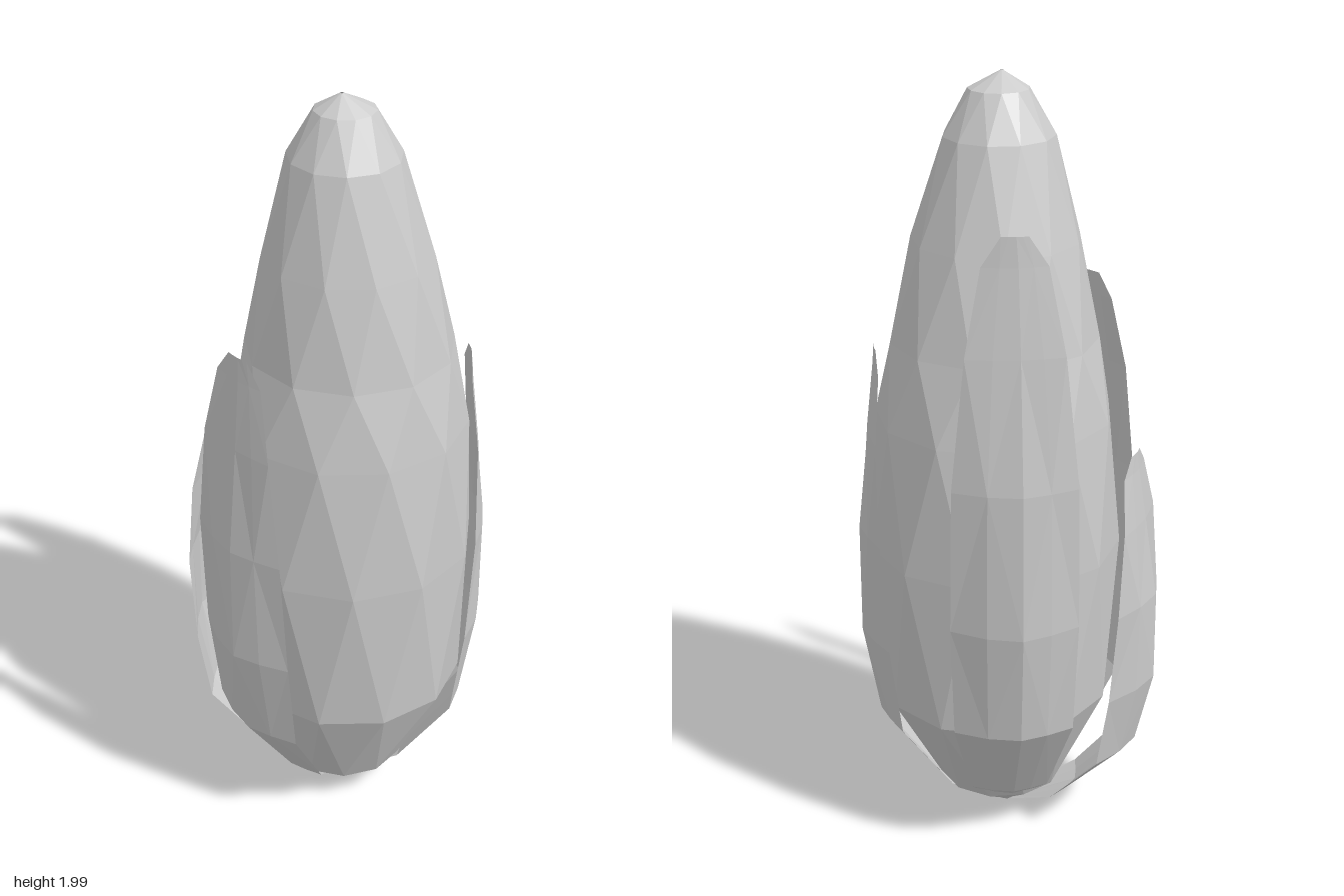
import * as THREE from 'three';

const material = new THREE.MeshStandardMaterial({ color: 0xcccccc, flatShading: true, side: THREE.DoubleSide });

function meshFrom(name, positions, indices) {
  const geometry = new THREE.BufferGeometry();
  geometry.setAttribute('position', new THREE.Float32BufferAttribute(positions, 3));
  geometry.setIndex(indices);
  geometry.computeVertexNormals();
  const mesh = new THREE.Mesh(geometry, material);
  mesh.name = name;
  return mesh;
}

// Faceted cob: rings with every other one turned by half a step
function makeCob() {
  const sides = 11;
  // height, radius, centre z
  const rings = [
    [0.01, 0.04, 0], [0.1, 0.165, -0.01], [0.38, 0.3, -0.03], [0.8, 0.322, -0.03],
    [1.15, 0.3, -0.03], [1.35, 0.262, -0.03], [1.6, 0.21, -0.02], [1.85, 0.138, -0.01],
    [1.96, 0.075, -0.01], [2, 0.004, 0],
  ];
  const positions = [], indices = [];
  rings.forEach(([y, radius, cz], r) => {
    for (let i = 0; i < sides; i++) {
      const a = ((i + (r % 2) / 2) / sides) * Math.PI * 2;
      positions.push(0.045 + radius * Math.sin(a), y, cz + radius * Math.cos(a));
    }
  });
  const at = (r, i) => r * sides + (i % sides);
  for (let r = 0; r < rings.length - 1; r++) {
    for (let i = 0; i < sides; i++) {
      const a = at(r, i), b = at(r, i + 1), c = at(r + 1, i), d = at(r + 1, i + 1);
      if (r % 2) indices.push(a, b, d, a, d, c);
      else indices.push(a, b, c, b, d, c);
    }
  }
  // close the base
  for (let i = 1; i < sides - 1; i++) indices.push(0, i + 1, i);
  return meshFrom('cob', positions, indices);
}

// Thin husk leaf, bowed outward across its width
function makeLeaf(name, height, angle, reach) {
  // height, half width, distance of the middle, distance of the edges
  const rows = [
    [0.01, 0.03, 0.04, 0.02], [0.12, 0.1, 0.185, 0.155], [0.34, 0.15, 0.337, 0.288],
    [0.6, 0.158, 0.38, 0.318], [0.92, 0.152, 0.378, 0.335], [1.2, 0.118, 0.348, 0.335],
    [1.38, 0.078, 0.33, 0.32], [1.44, 0.032, 0.325, 0.322],
  ];
  const columns = [-1, -0.45, 0.1, 0.55, 1];
  const n = columns.length, positions = [], indices = [];
  for (const [y, half, middle, edge] of rows) {
    for (const u of columns) {
      const z = middle + (edge - middle) * Math.abs(u) ** 1.4;
      positions.push(u * half, (y * height) / 1.44, z * reach);
    }
  }
  for (let r = 0; r < rows.length - 1; r++) {
    for (let c = 0; c < n - 1; c++) {
      const a = r * n + c, b = a + 1, d = a + n, e = d + 1;
      if ((r + c) % 2) indices.push(a, b, e, a, e, d);
      else indices.push(a, b, d, b, e, d);
    }
  }
  const leaf = meshFrom(name, positions, indices);
  leaf.position.x = 0.04;
  leaf.rotation.y = angle;
  return leaf;
}

export function createModel() {
  const model = new THREE.Group();
  model.name = 'cornCob';
  model.add(
    makeCob(),
    makeLeaf('frontLeaf', 1.44, 0, 1),
    makeLeaf('rightLeaf', 1.08, Math.atan2(-0.925, 0.38), 1.09),
    makeLeaf('backRightLeaf', 1.7, Math.atan2(-0.74, -0.67), 1.13),
    makeLeaf('backLeftLeaf', 1.33, Math.atan2(0.625, -0.78), 1),
  );
  return model;
}
